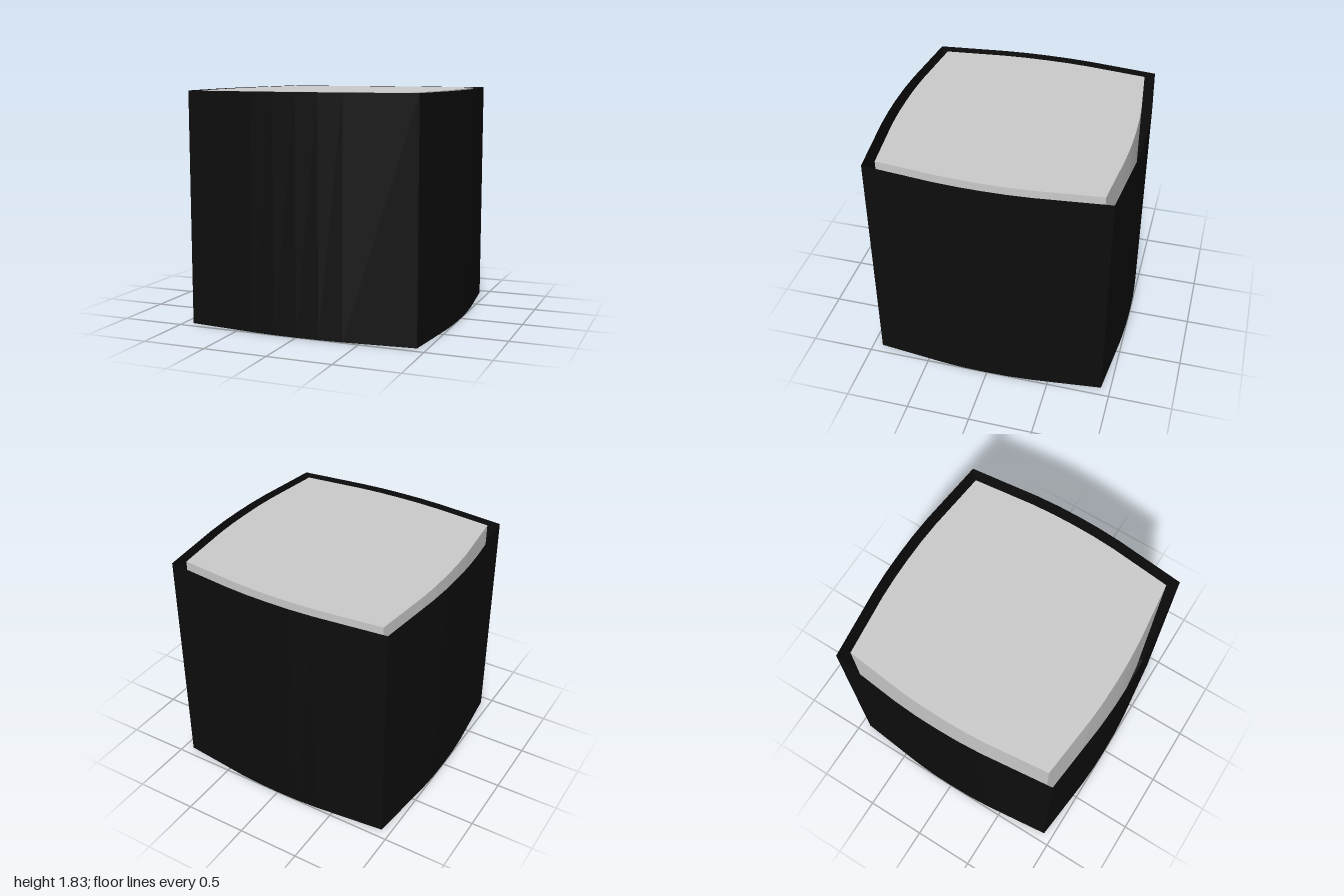
import * as THREE from 'three';

// One bulging side, from one corner to just before the next (along x, offset z)
const outerSide = [[-0.925, 0.925], [-0.37, 0.985], [-0.18, 0.997], [0, 1], [0.18, 0.997], [0.37, 0.985]];
const innerSide = [[-0.85, 0.85], [-0.36, 0.903], [-0.18, 0.914], [0, 0.917], [0.18, 0.914], [0.36, 0.903]];

// Repeat the side around four quarter turns
function outline(side) {
  const points = [];
  for (let k = 0; k < 4; k++) {
    const c = Math.round(Math.cos(k * Math.PI / 2));
    const s = Math.round(Math.sin(k * Math.PI / 2));
    for (const [x, y] of side) points.push(new THREE.Vector2(x * c + y * s, -x * s + y * c));
  }
  return points;
}

// Upright block from an outline
function prism(points, bottom, top) {
  const geometry = new THREE.ExtrudeGeometry(new THREE.Shape(points), { depth: top - bottom, bevelEnabled: false });
  return geometry.rotateX(-Math.PI / 2).translate(0, bottom, 0);
}

// Thin upright wall following an outline
function wall(points, height) {
  const position = [];
  points.forEach((a, i) => {
    const b = points[(i + 1) % points.length];
    position.push(a.x, 0, a.y, b.x, 0, b.y, b.x, height, b.y);
    position.push(a.x, 0, a.y, b.x, height, b.y, a.x, height, a.y);
  });
  const geometry = new THREE.BufferGeometry();
  geometry.setAttribute('position', new THREE.Float32BufferAttribute(position, 3));
  geometry.computeVertexNormals();
  // Reverse the winding if the first face points inwards
  const n = geometry.attributes.normal;
  if (n.getX(0) * points[0].x + n.getZ(0) * points[0].y < 0) {
    for (let i = 0; i < position.length; i += 9) {
      for (let j = 0; j < 3; j++) {
        [position[i + 3 + j], position[i + 6 + j]] = [position[i + 6 + j], position[i + 3 + j]];
      }
    }
    geometry.setAttribute('position', new THREE.Float32BufferAttribute(position, 3));
    geometry.computeVertexNormals();
  }
  return geometry;
}

export function createModel() {
  const group = new THREE.Group();
  const black = new THREE.MeshStandardMaterial({ color: 0x0d0d0d, side: THREE.DoubleSide });
  const grey = new THREE.MeshStandardMaterial({ color: 0xcccccc });
  const add = (name, geometry, material) => {
    const mesh = new THREE.Mesh(geometry, material);
    mesh.name = name;
    group.add(mesh);
  };

  // Open-topped black case: thin walls and a floor
  const outer = outline(outerSide);
  add('caseWall', wall(outer, 1.83), black);
  add('caseFloor', prism(outer, 0, 0.01), black);

  // Pale core standing inside, level with the rim and separated by a gap
  add('innerCore', prism(outline(innerSide), 0.01, 1.83), grey);
  return group;
}
